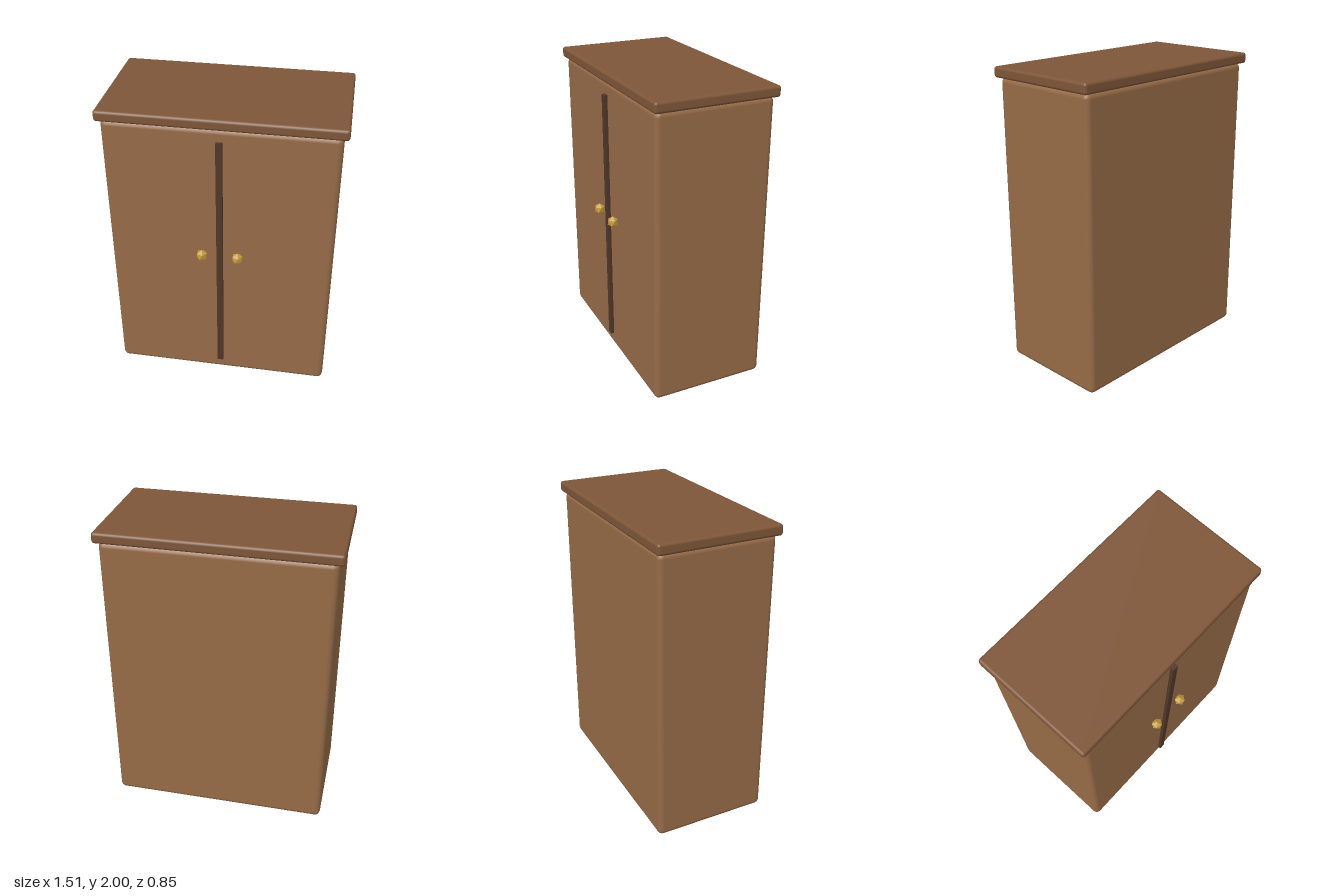
import * as THREE from 'three';
import { RoundedBoxGeometry } from 'three/addons/geometries/RoundedBoxGeometry.js';

const material = (color, flatShading = false) => new THREE.MeshStandardMaterial({ color, flatShading });

export function createModel() {
  const group = new THREE.Group();
  const bodyWood = material(0x966b47);
  const topWood = material(0x7e5638);
  const darkWood = material(0x503729);
  const brass = material(0xc39a3a, true);

  function add(name, geometry, mat, x, y, z) {
    const mesh = new THREE.Mesh(geometry, mat);
    mesh.name = name;
    mesh.position.set(x, y, z);
    group.add(mesh);
  }

  // Cabinet body and overhanging top board, both with softened edges
  add('body', new RoundedBoxGeometry(1.45, 1.93, 0.77, 2, 0.035), bodyWood, 0, 0.968, -0.018);
  add('topBoard', new RoundedBoxGeometry(1.51, 0.07, 0.81, 2, 0.018), topWood, 0, 1.965, -0.018);

  // Raised strip between the doors
  add('doorStrip', new THREE.BoxGeometry(0.04, 1.75, 0.04), darkWood, 0, 0.975, 0.37);

  // Faceted knobs, turned so that a corner points straight up
  const knob = new THREE.IcosahedronGeometry(0.039, 0);
  knob.rotateZ(-Math.atan(2 / (1 + Math.sqrt(5))));
  for (const [name, x] of [['leftKnob', 0.116], ['rightKnob', -0.116]]) {
    add(name, knob, brass, x, 1.025, 0.391);
  }
  return group;
}
